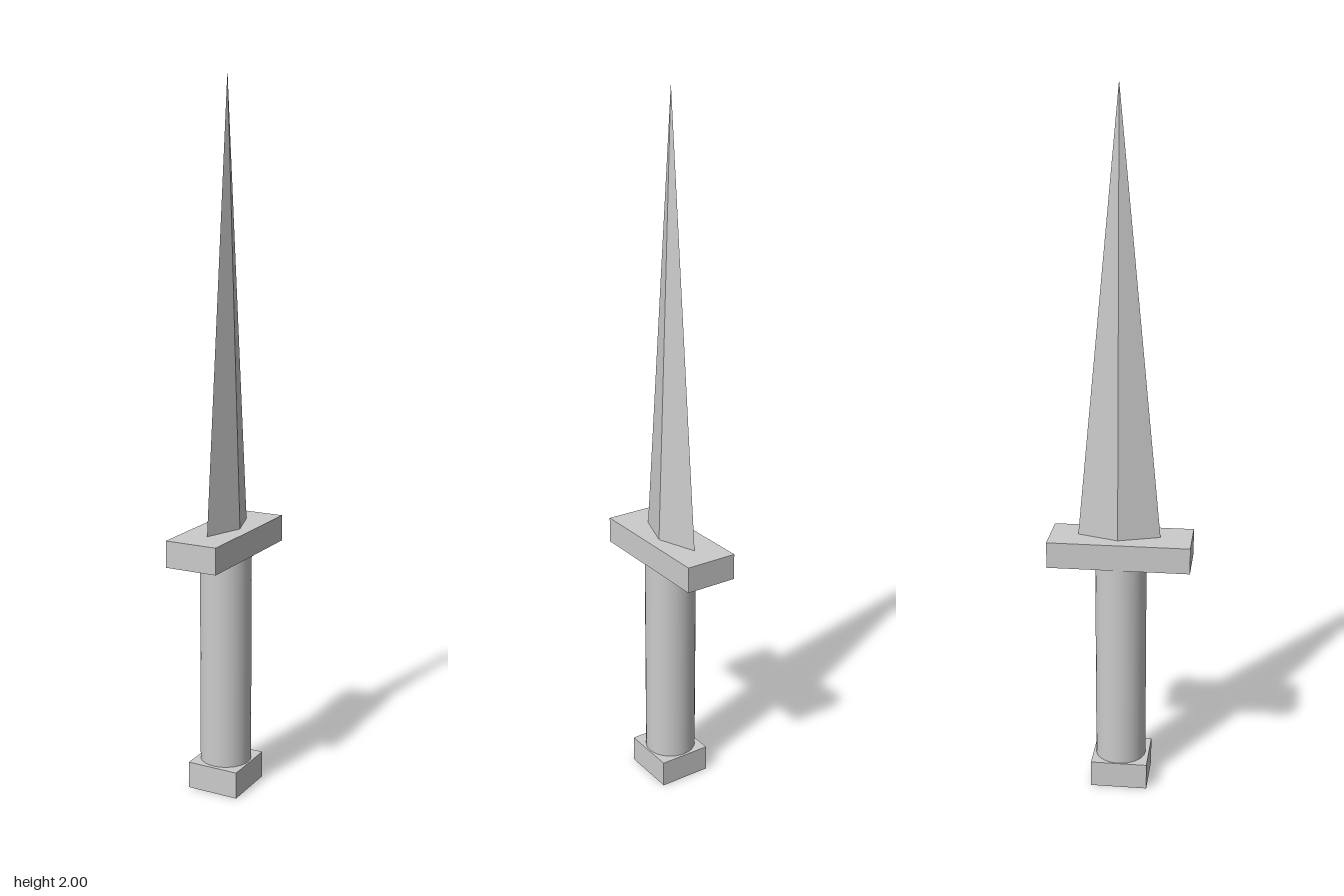
import * as THREE from 'three';

export function createModel() {
  const group = new THREE.Group();
  const smooth = new THREE.MeshStandardMaterial({ color: 0xcccccc });
  const flat = new THREE.MeshStandardMaterial({ color: 0xcccccc, flatShading: true });

  const add = (name, geometry, material, x, y, z) => {
    const mesh = new THREE.Mesh(geometry, material);
    mesh.name = name;
    mesh.position.set(x, y, z);
    group.add(mesh);
  };

  // Square pommel block at the foot
  add('pommel', new THREE.BoxGeometry(0.153, 0.077, 0.163), flat, 0, 0.0385, 0.002);

  // Round grip
  add('grip', new THREE.CylinderGeometry(0.073, 0.073, 0.612, 32), smooth, -0.001, 0.382, 0);

  // Crossguard, long along z
  add('guard', new THREE.BoxGeometry(0.153, 0.075, 0.402), flat, 0, 0.7245, 0);

  // Diamond-section blade: a four-sided cone flattened in x
  const blade = new THREE.ConeGeometry(1, 1.24, 4);
  blade.scale(0.04, 1, 0.117);
  add('blade', blade, flat, 0.001, 1.38, -0.005);

  return group;
}
